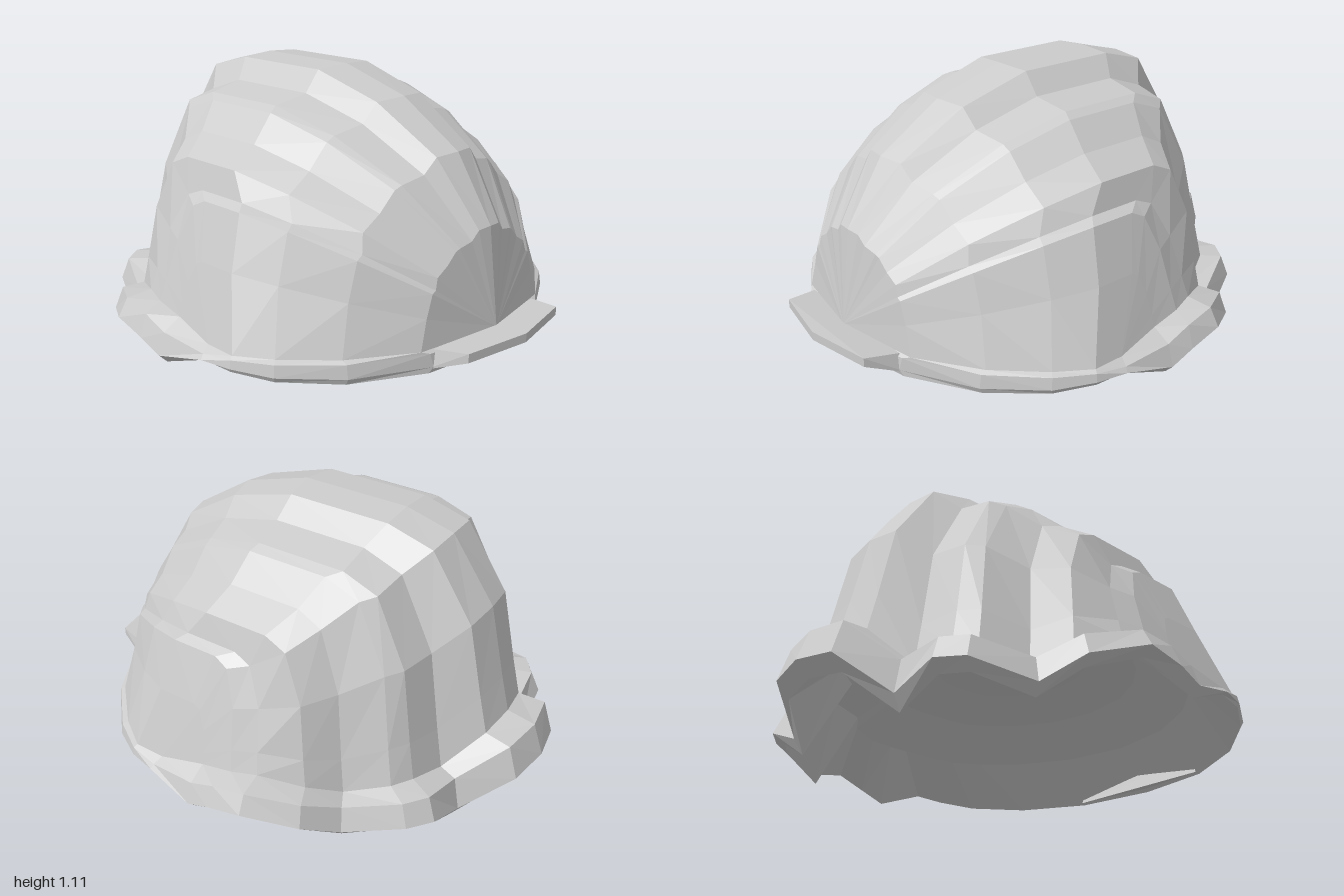
import * as THREE from 'three';
import { ConvexGeometry } from 'three/addons/geometries/ConvexGeometry.js';

const V = (x, y, z) => new THREE.Vector3(x, y, z);
const { lerp } = THREE.MathUtils;
const mat = new THREE.MeshStandardMaterial({ color: 0xcccccc, flatShading: true, side: THREE.DoubleSide });

// hinge point where all the ribs meet
const hinge = V(0, 0.22, 0.87);

// rib lines of one half, centre to side: crest, foot, and lip (x, z, top, bottom)
const ribs = [
  { crest: [0, 1.11, -0.35], foot: [0, 0.36, -0.84], lip: [0, -1.0, 0.34, 0.16] },
  { crest: [0.14, 1.1, -0.35], foot: [0.15, 0.34, -0.82], lip: [0.17, -0.97, 0.33, 0.14] },
  { crest: [0.22, 1.02, -0.3], foot: [0.27, 0.2, -0.7], lip: [0.3, -0.8, 0.19, 0] },
  { crest: [0.36, 0.99, -0.3], foot: [0.42, 0.23, -0.66], lip: [0.48, -0.79, 0.22, 0.09] },
  { crest: [0.4, 0.97, -0.25], foot: [0.5, 0.23, -0.61], lip: [0.57, -0.72, 0.22, 0.09] },
  { crest: [0.5, 0.87, -0.2], foot: [0.58, 0.18, -0.45], lip: [0.67, -0.5, 0.17, 0.03] },
  { crest: [0.62, 0.8, -0.14], foot: [0.7, 0.25, -0.36], lip: [0.81, -0.41, 0.24, 0.12] },
  { crest: [0.65, 0.7, -0.02], foot: [0.78, 0.29, -0.2], lip: [0.92, -0.22, 0.28, 0.18] },
  { crest: [0.69, 0.68, 0.04], foot: [0.81, 0.28, -0.1], lip: [0.925, -0.07, 0.26, 0.14] },
  { crest: [0.76, 0.48, 0.1], foot: [0.82, 0.26, 0.03], lip: [0.92, 0.03, 0.22, 0.1] },
  { crest: [0.84, 0.22, 0.22], foot: [0.84, 0.22, 0.22], lip: [0.89, 0.24, 0.2, 0.175] },
];

// rise from hinge to crest: [radius, z at the centre rib, z at the side rib]
const rise = [[0, 0, 0], [0.43, 0.04, 0.1], [0.71, 0.17, 0.34], [0.9, 0.385, 0.6], [1, 0.63, 0.8], [1, 1, 1]];
// fall from crest to foot: [drop, z]
const fall = [[0.07, 0.41], [0.41, 0.78], [0.8, 0.92], [1, 1]];
// lip beside the front edge, hinge to side: x, z, bottom
const frontLip = [[0, 0.89, 0.14], [0.32, 0.83, 0.135], [0.6, 0.68, 0.135], [0.78, 0.5, 0.145], [0.86, 0.36, 0.165]];
// shallow underside: [radius as a share of the lip, height]
const bowl = [[0.8, 0.31], [0.58, 0.43], [0.36, 0.5], [0.2, 0.54], [0, 0.55]];

function ribLine({ crest, foot }, i) {
  const a = V(...crest), f = V(...foot), side = i / (ribs.length - 1);
  const up = rise.map(([r, zc, zs]) => {
    const p = hinge.clone().lerp(a, r);
    p.z = lerp(hinge.z, a.z, lerp(zc, zs, side));
    return p;
  });
  const down = fall.map(([d, t]) => V(lerp(a.x, f.x, d), lerp(a.y, f.y, d), lerp(a.z, f.z, t)));
  return [...up, ...down];
}

// skins rows of points and mirrors the result across x = 0
function mirroredSkin(rows, flip) {
  const pos = [];
  const tri = (a, b, c) => {
    if (b.clone().sub(a).cross(c.clone().sub(a)).length() < 1e-7) return;
    if (flip) [b, c] = [c, b];
    for (const p of [a, b, c]) pos.push(p.x, p.y, p.z);
    for (const p of [a, c, b]) pos.push(-p.x, p.y, p.z);
  };
  for (let j = 0; j + 1 < rows.length; j++) {
    for (let k = 0; k + 1 < rows[j].length; k++) {
      const a = rows[j][k], b = rows[j][k + 1], c = rows[j + 1][k + 1], d = rows[j + 1][k];
      tri(a, b, c);
      tri(a, c, d);
    }
  }
  const g = new THREE.BufferGeometry();
  g.setAttribute('position', new THREE.Float32BufferAttribute(pos, 3));
  g.computeVertexNormals();
  return g;
}

// lip cross-section: shell edge, top, widest point, underside
const lipSection = (p, [x, z, top, bottom]) => [
  p,
  V(lerp(p.x, x, 0.72), top, lerp(p.z, z, 0.72)),
  V(x, lerp(top, bottom, 0.7), z),
  V(lerp(p.x, x, 0.65), bottom, lerp(p.z, z, 0.65)),
];

export function createModel() {
  const group = new THREE.Group();
  const add = (name, geometry) => {
    const mesh = new THREE.Mesh(geometry, mat);
    mesh.name = name;
    group.add(mesh);
  };

  // ribbed dome
  const lines = ribs.map(ribLine);
  add('ribbedShell', mirroredSkin(lines, true));

  // scalloped lip around the opening, from the hinge round to the back
  const edge = lines[lines.length - 1];
  const lip = frontLip.map(([x, z, bottom], k) => lipSection(edge[k], [x, z, 0.21, bottom]));
  for (const rib of [...ribs].reverse()) lip.push(lipSection(V(...rib.foot), rib.lip));
  add('scallopedLip', mirroredSkin(lip, false));

  // shallow hollow underneath
  const hollow = lip.map(([, , , p]) => [p, ...bowl.map(([r, y]) => V(p.x * r, y, p.z * r))]);
  add('shellHollow', mirroredSkin(hollow, false));

  // hinge tab at the front
  const tab = [];
  for (const s of [-1, 1]) {
    tab.push(V(s * 0.31, 0.22, 0.82), V(s * 0.33, 0.14, 0.8), V(s * 0.28, 0.235, 0.95), V(s * 0.28, 0.2, 0.95));
  }
  tab.push(V(0, 0.235, 1), V(0, 0.2, 1), V(0, 0.15, 0.86));
  add('hingeTab', new ConvexGeometry(tab));

  return group;
}
